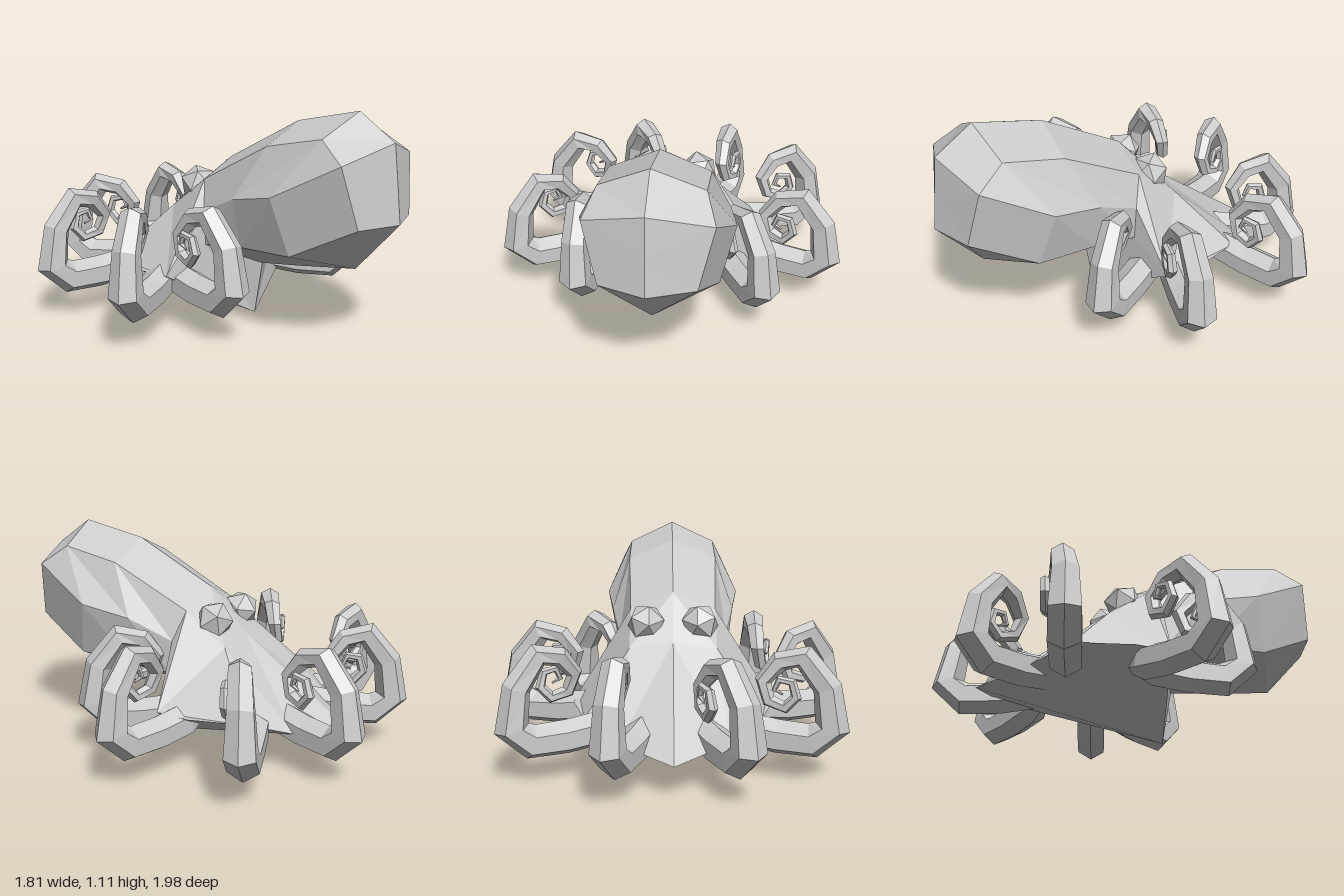
import * as THREE from 'three';

const skinMaterial = new THREE.MeshStandardMaterial({ color: 0xcccccc, flatShading: true });

// Joins rows of points into a faceted skin; closed wraps each row, mirror adds the -x half.
function skin(rows, { closed = false, mirror = false } = {}) {
  const positions = [];
  const addTriangle = (a, b, c) => {
    const pa = new THREE.Vector3(...a), pb = new THREE.Vector3(...b), pc = new THREE.Vector3(...c);
    if (new THREE.Triangle(pa, pb, pc).getArea() < 1e-7) return;
    positions.push(...a, ...b, ...c);
    if (mirror) for (const p of [a, c, b]) positions.push(-p[0], p[1], p[2]);
  };
  for (let i = 0; i < rows.length - 1; i++) {
    const n = rows[i].length;
    for (let j = 0; j < (closed ? n : n - 1); j++) {
      const k = (j + 1) % n;
      const a = rows[i][j], b = rows[i][k], c = rows[i + 1][k], d = rows[i + 1][j];
      addTriangle(a, b, c);
      addTriangle(a, c, d);
    }
  }
  const geometry = new THREE.BufferGeometry();
  geometry.setAttribute('position', new THREE.Float32BufferAttribute(positions, 3));
  geometry.computeVertexNormals();
  return geometry;
}

function addMesh(parent, name, geometry) {
  const mesh = new THREE.Mesh(geometry, skinMaterial);
  mesh.name = name;
  parent.add(mesh);
  return mesh;
}

// Half sections from the mantle end to the skirt rim, each running top, shoulder, side, lower, bottom.
function bodyGeometry() {
  const tip = [0, 0.8, 0.98], keel = [0, 0, 0.15], hip = [0.5, 0.28, 0];
  return skin([
    Array(5).fill(tip),
    [[0, 0.98, 0.96], [0.29, 0.9, 0.87], [0.29, 0.9, 0.87], [0.22, 0.61, 0.92], [0, 0.61, 1]],
    [[0, 1.11, 0.77], [0.24, 1, 0.73], [0.37, 0.73, 0.54], [0.3, 0.45, 0.6], [0, 0.36, 0.77]],
    [[0, 1.04, 0.42], [0.24, 0.94, 0.42], [0.33, 0.68, 0.28], [0.29, 0.44, 0.3], [0, 0.31, 0.43]],
    [[0, 0.82, -0.01], [0.22, 0.73, 0], [0.28, 0.58, 0.05], [0.28, 0.41, 0.06], [0, 0.28, 0.2]],
    [[0, 0.6, -0.22], [0.22, 0.57, -0.22], hip, hip, keel],
    [[0, 0.17, -0.81], [0.26, 0.21, -0.62], [0.43, 0.28, -0.46], [0.51, 0.28, -0.18], keel],
    Array(5).fill(keel),
  ], { mirror: true });
}

// Curled arm: each station is [outward, height, sideways drift, radius].
function armGeometry(sides = 6) {
  const path = [
    [-0.12, 0.25, 0, 0.03], [0, 0.235, 0, 0.085], [0.17, 0.21, 0, 0.085], [0.34, 0.205, 0, 0.085],
    [0.43, 0.28, 0, 0.083], [0.4, 0.47, 0.005, 0.068], [0.29, 0.615, 0.025, 0.06],
    [0.18, 0.59, 0.045, 0.049], [0.11, 0.5, 0.065, 0.04], [0.14, 0.41, 0.08, 0.034],
    [0.22, 0.385, 0.09, 0.03], [0.27, 0.44, 0.095, 0.026], [0.25, 0.51, 0.1, 0.022],
    [0.19, 0.52, 0.105, 0.019], [0.17, 0.47, 0.105, 0.015], [0.21, 0.45, 0.105, 0.005],
  ];
  const rows = path.map(([u, y, v, r], i) => {
    const before = path[Math.max(i - 1, 0)], after = path[Math.min(i + 1, path.length - 1)];
    const t = new THREE.Vector2(after[0] - before[0], after[1] - before[1]).normalize();
    return Array.from({ length: sides }, (_, j) => {
      const angle = (j / sides) * Math.PI * 2;
      const n = Math.cos(angle) * r;
      return [u - t.y * n, y + t.x * n, v + Math.sin(angle) * r];
    });
  });
  // Close both ends on their centres.
  const first = path[0], last = path[path.length - 1];
  rows.unshift(Array(sides).fill(first.slice(0, 3)));
  rows.push(Array(sides).fill(last.slice(0, 3)));
  return skin(rows, { closed: true });
}

export function createModel() {
  const model = new THREE.Group();
  model.name = 'octopus';

  addMesh(model, 'body', bodyGeometry());

  // Eyes
  for (const side of [1, -1]) {
    const eye = addMesh(model, side > 0 ? 'leftEye' : 'rightEye', new THREE.IcosahedronGeometry(0.1, 0));
    eye.position.set(side * 0.138, 0.68, -0.115);
    eye.rotation.set(0.6, 0.2 * side, 0);
  }

  // Arms: base x, base z, heading in degrees from +x towards +z; all curl the same way round
  const arm = armGeometry();
  const arms = [
    [0.3, 0.0, 61], [0.42, -0.1, 18], [0.35, -0.45, -20], [0.14, -0.5, -70],
    [-0.14, -0.51, -115], [-0.33, -0.46, -163], [-0.43, -0.1, 157], [-0.37, -0.04, 100],
  ];
  arms.forEach(([x, z, heading], i) => {
    const mesh = addMesh(model, `arm${i + 1}`, arm);
    mesh.position.set(x, 0, z);
    mesh.rotation.y = -THREE.MathUtils.degToRad(heading);
  });

  return model;
}
